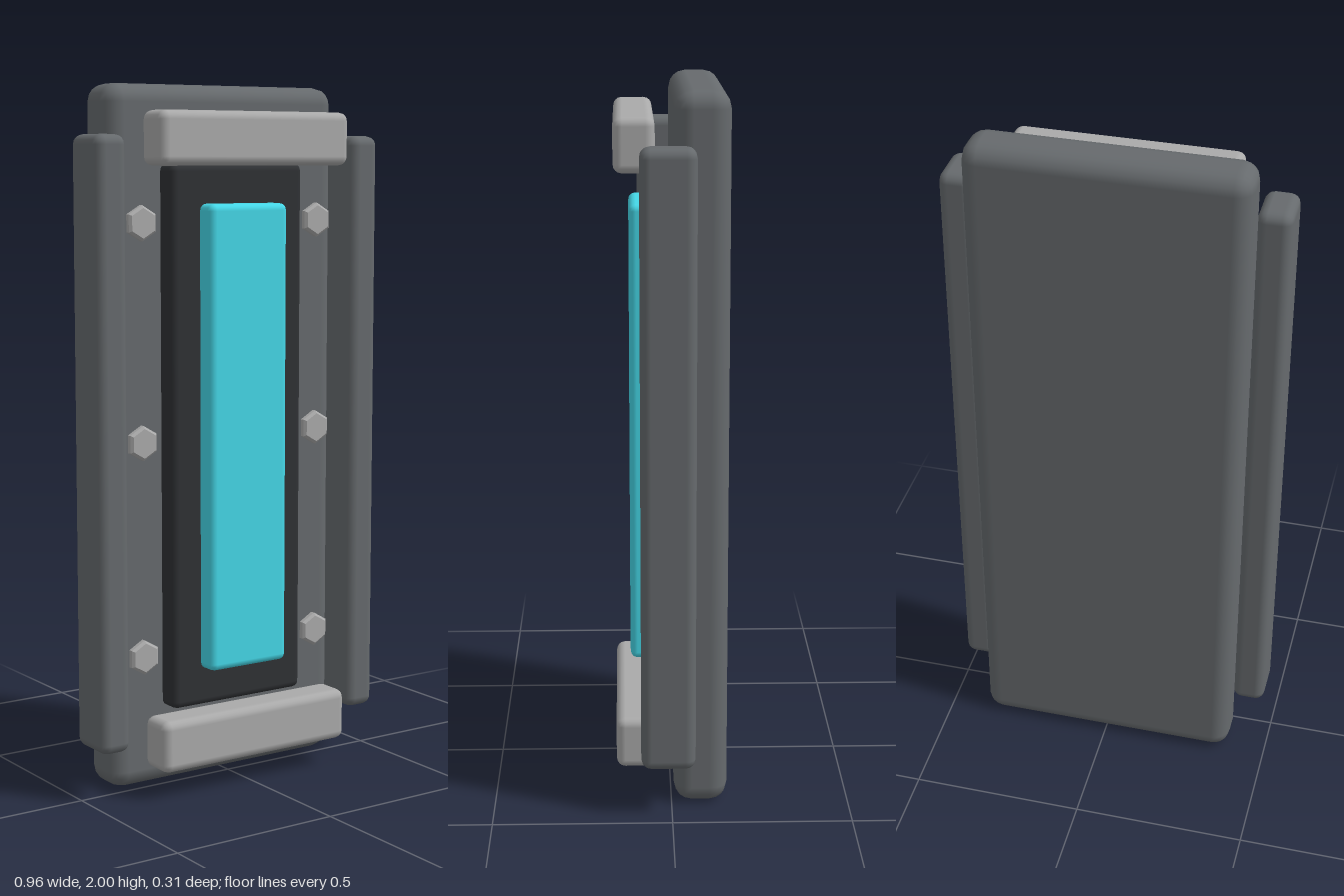
import * as THREE from 'three';
import { RoundedBoxGeometry } from 'three/addons/geometries/RoundedBoxGeometry.js';

const material = (color) => new THREE.MeshStandardMaterial({ color });

export function createModel() {
  const model = new THREE.Group();
  const frameGrey = material(0x666a6d);
  const dark = material(0x2f3134);
  const glow = material(0x45d8e8);
  const metal = material(0xaaaaaa);

  // Rounded block given by its [min, max] range on each axis
  const block = (name, [x0, x1], [y0, y1], [z0, z1], radius, mat) => {
    const geo = new RoundedBoxGeometry(x1 - x0, y1 - y0, z1 - z0, 2, radius);
    const mesh = new THREE.Mesh(geo, mat);
    mesh.position.set((x0 + x1) / 2, (y0 + y1) / 2, (z0 + z1) / 2);
    mesh.name = name;
    model.add(mesh);
  };

  // Main slab, recessed panel and light strip
  block('backPlate', [-0.388, 0.388], [0, 2], [-0.157, -0.007], 0.05, frameGrey);
  block('darkPanel', [-0.223, 0.223], [0.23, 1.78], [-0.05, 0.056], 0.02, dark);
  block('lightStrip', [-0.132, 0.132], [0.34, 1.67], [0.03, 0.113], 0.02, glow);

  // Bars across the top and bottom
  block('topBar', [-0.318, 0.318], [1.775, 1.925], [0.043, 0.155], 0.025, metal);
  block('bottomBar', [-0.318, 0.318], [0.08, 0.23], [0.043, 0.155], 0.025, metal);

  // Side rails
  block('leftRail', [0.383, 0.479], [0.143, 1.86], [-0.065, 0.086], 0.028, frameGrey);
  block('rightRail', [-0.479, -0.383], [0.143, 1.86], [-0.065, 0.086], 0.028, frameGrey);

  // Bevelled hexagonal bolt heads, three on each side
  const profile = [[0, 0], [0.042, 0], [0.05, 0.007], [0.05, 0.02], [0.042, 0.027], [0, 0.027]]
    .map(([r, h]) => new THREE.Vector2(r, h));
  const boltGeo = new THREE.LatheGeometry(profile, 6).rotateX(Math.PI / 2);
  const boltMetal = metal.clone();
  boltMetal.flatShading = true;
  for (const x of [-0.3, 0.3]) {
    for (const y of [0.39, 1.005, 1.618]) {
      const bolt = new THREE.Mesh(boltGeo, boltMetal);
      bolt.position.set(x, y, 0.001);
      bolt.name = 'bolt';
      model.add(bolt);
    }
  }
  return model;
}
